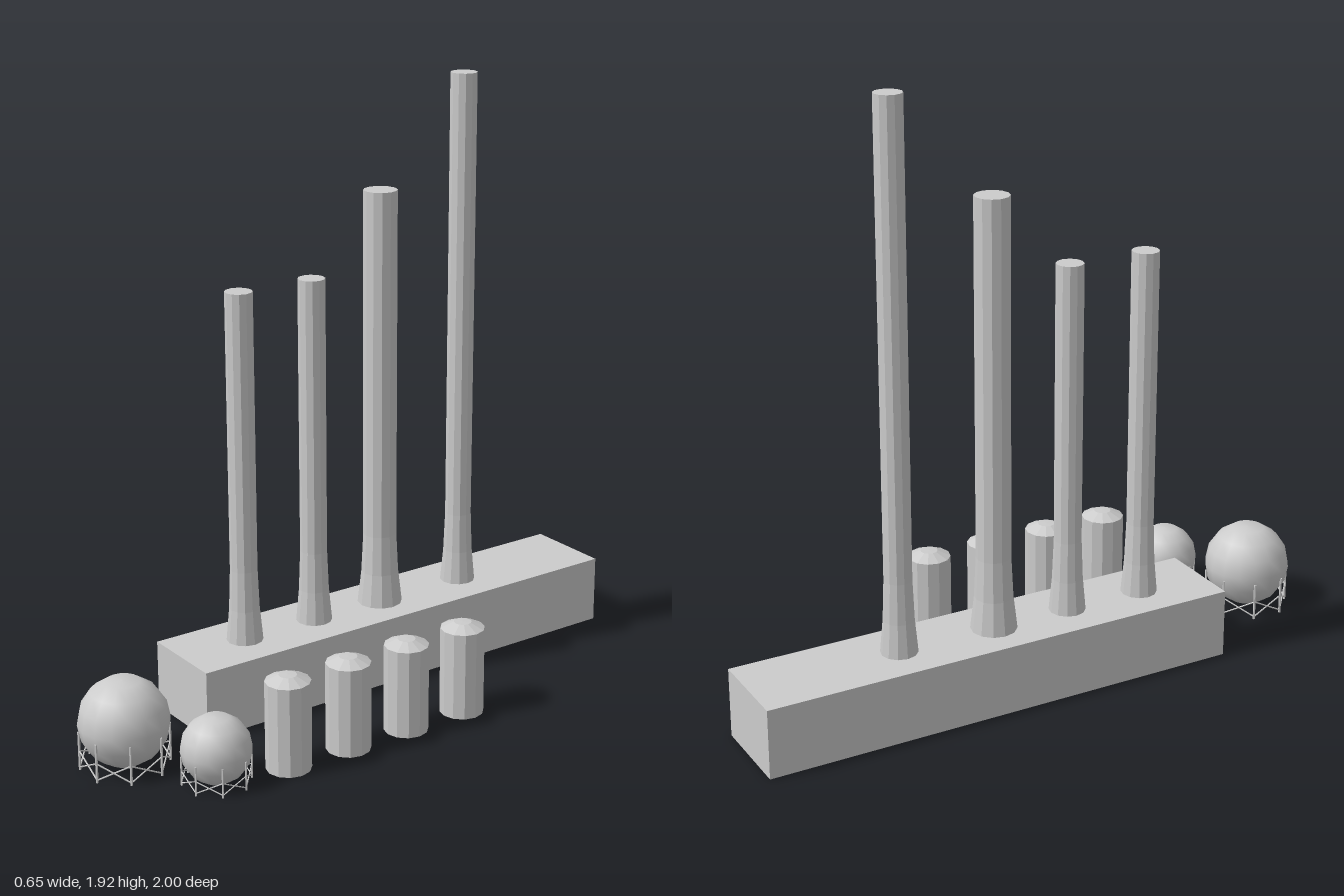
import * as THREE from 'three';

const flat = new THREE.MeshStandardMaterial({ color: 0xcccccc, flatShading: true });
const smooth = new THREE.MeshStandardMaterial({ color: 0xcccccc });

function add(parent, name, geometry, material, x = 0, y = 0, z = 0) {
  const mesh = new THREE.Mesh(geometry, material);
  mesh.name = name;
  mesh.position.set(x, y, z);
  parent.add(mesh);
  return mesh;
}

const lathe = (pts, sides) =>
  new THREE.LatheGeometry(pts.map(([r, y]) => new THREE.Vector2(r, y)), sides);

// Thin rod between two points
function rod(parent, name, a, b, r) {
  const dir = b.clone().sub(a);
  const mesh = add(parent, name, new THREE.CylinderGeometry(r, r, dir.length(), 5), flat);
  mesh.position.copy(a).add(b).multiplyScalar(0.5);
  mesh.quaternion.setFromUnitVectors(new THREE.Vector3(0, 1, 0), dir.normalize());
}

// Spherical gas tank with flattened poles, standing on braced legs
function sphereTank(r, cy) {
  const tank = new THREE.Group();
  tank.name = 'sphereTank';
  const pts = [];
  for (let i = 1; i <= 7; i++) {
    const a = Math.PI * (1 - i / 8);
    pts.push([r * Math.sin(a), cy + r * Math.cos(a)]);
  }
  pts.unshift([0, pts[0][1] - 0.002]);
  pts.push([0, pts[7][1] + 0.002]);
  add(tank, 'sphereShell', lathe(pts, 16), smooth);

  const legs = 8, legR = r * 0.97, legTop = cy * 0.85;
  const at = (i, y) => {
    const a = ((i + 0.5) / legs) * Math.PI * 2;
    return new THREE.Vector3(Math.sin(a) * legR, y, Math.cos(a) * legR);
  };
  for (let i = 0; i < legs; i++) {
    rod(tank, 'tankLeg', at(i, 0), at(i, legTop), r * 0.03);
    rod(tank, 'tankBrace', at(i, 0.008), at(i + 1, legTop * 0.5), r * 0.018);
    rod(tank, 'tankBrace', at(i + 1, 0.008), at(i, legTop * 0.5), r * 0.018);
  }
  return tank;
}

export function createModel() {
  const model = new THREE.Group();
  model.name = 'powerPlant';

  // Long main hall
  add(model, 'hall', new THREE.BoxGeometry(0.29, 0.222, 1.573), flat, -0.183, 0.111, -0.2135);

  // Chimneys with flared bases: z, top height, shaft radius, base radius
  const chimneys = [
    [-0.51, 1.925, 0.043, 0.058],
    [-0.187, 1.592, 0.054, 0.073],
    [0.074, 1.35, 0.043, 0.058],
    [0.338, 1.35, 0.043, 0.058],
  ];
  for (const [z, top, r, base] of chimneys) {
    const profile = [[base, 0.22], [(base + r * 2) / 3, 0.33], [r, 0.46], [r, top], [0, top]];
    add(model, 'chimney', lathe(profile, 12), flat, -0.185, 0, z);
  }

  // Row of upright storage tanks with low conical roofs
  const tankProfile = [[0, 0], [0.07, 0], [0.07, 0.284], [0.028, 0.303], [0, 0.304]];
  for (let i = 0; i < 4; i++) {
    add(model, 'storageTank', lathe(tankProfile, 12), flat, 0.255, 0, 0.472 - i * 0.2185);
  }

  // Two spherical tanks at the front
  const big = sphereTank(0.14, 0.145);
  big.position.set(-0.046, 0, 0.857);
  const small = sphereTank(0.108, 0.108);
  small.position.set(0.205, 0, 0.693);
  model.add(big, small);

  return model;
}
